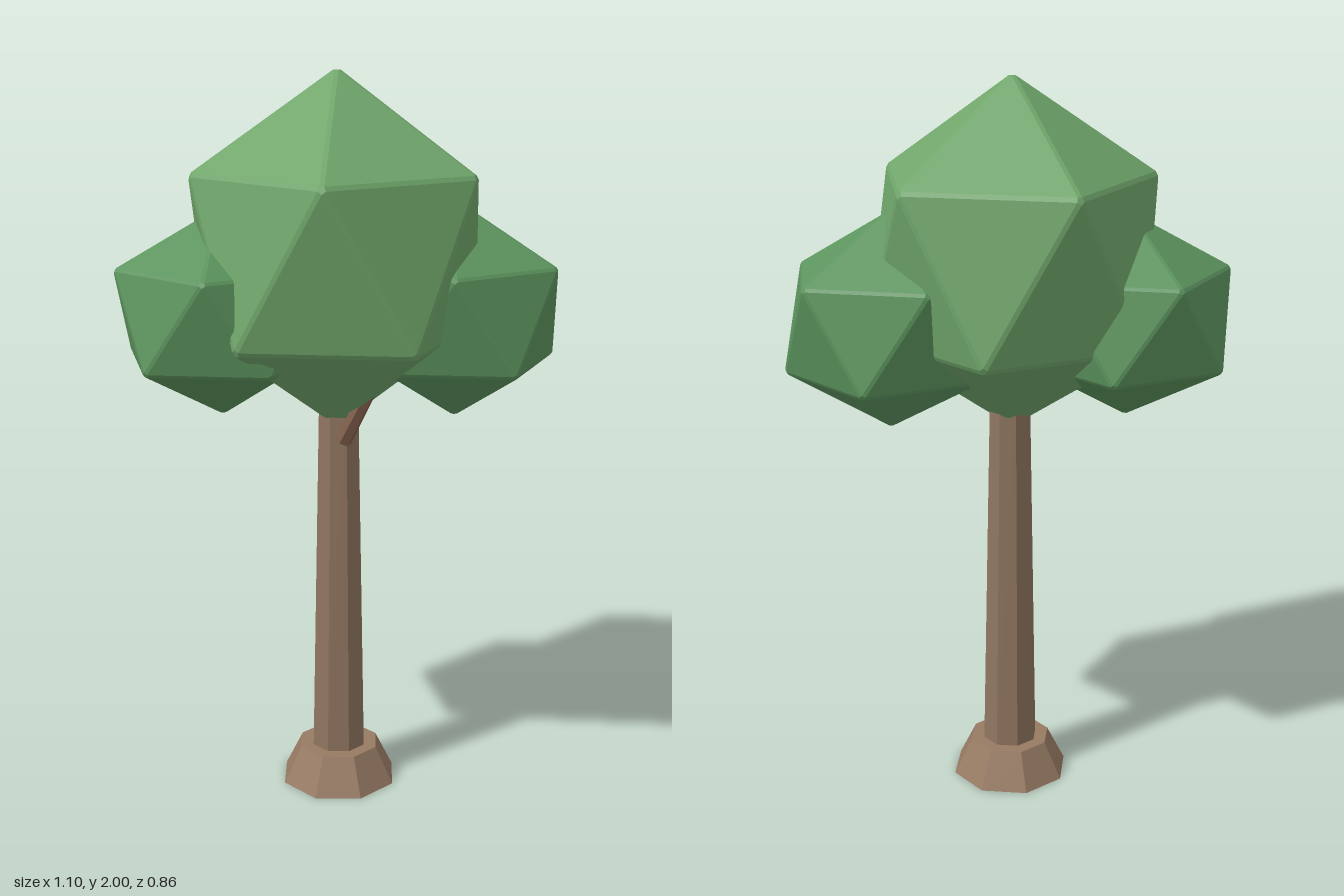
import * as THREE from 'three';
import { ConvexGeometry } from 'three/addons/geometries/ConvexGeometry.js';

const material = (color) => new THREE.MeshStandardMaterial({ color, flatShading: true });

// Upright icosahedron of radius 1 whose edges and corners are lightly bevelled
function bevelledIcosahedron(bevel) {
  const h = 1 / Math.sqrt(5), r = 2 / Math.sqrt(5), step = Math.PI / 5;
  const ring = (k, y) => new THREE.Vector3(r * Math.cos(k * step), y, r * Math.sin(k * step));
  const top = new THREE.Vector3(0, 1, 0), bottom = new THREE.Vector3(0, -1, 0);
  const points = [];
  const addFace = (...corners) => {
    const centre = new THREE.Vector3();
    corners.forEach((c) => centre.addScaledVector(c, 1 / 3));
    corners.forEach((c) => points.push(c.clone().lerp(centre, bevel)));
  };
  for (let k = 0; k < 10; k += 2) {
    const a = ring(k, h), b = ring(k + 2, h);
    const c = ring(k + 1, -h), d = ring(k + 3, -h);
    addFace(top, a, b);
    addFace(a, b, c);
    addFace(b, c, d);
    addFace(bottom, c, d);
  }
  return new ConvexGeometry(points);
}

export function createModel() {
  const tree = new THREE.Group();
  tree.name = 'tree';
  const add = (name, geometry, color, x, y, z) => {
    const mesh = new THREE.Mesh(geometry, material(color));
    mesh.name = name;
    mesh.position.set(x, y, z);
    tree.add(mesh);
    return mesh;
  };

  // Flared foot and tapering octagonal trunk
  add('trunkBase', new THREE.CylinderGeometry(0.115, 0.167, 0.105, 8), 0x977a63, 0, 0.0525, 0.018);
  add('trunk', new THREE.CylinderGeometry(0.056, 0.079, 1.15, 8), 0x8f7560, 0, 0.625, 0.018);

  // Short branch rising from the trunk into the crown
  const start = new THREE.Vector3(0.035, 1.025, 0.07);
  const end = new THREE.Vector3(0.15, 1.24, 0.085);
  const along = end.clone().sub(start);
  const mid = start.clone().add(end).multiplyScalar(0.5);
  const branch = add('branch', new THREE.CylinderGeometry(0.018, 0.024, along.length(), 6), 0x805f4c, mid.x, mid.y, mid.z);
  branch.quaternion.setFromUnitVectors(new THREE.Vector3(0, 1, 0), along.normalize());

  // Foliage: one large crown and two smaller clumps
  const clumps = [
    ['crown', 0x70a66b, 0, 1.53, 0.03, 0.437, 0.478, 0.05],
    ['rightFoliage', 0x5c945e, -0.275, 1.372, 0.17, 0.314, 0.28, 0.06],
    ['leftFoliage', 0x5c945e, 0.27, 1.36, -0.16, 0.316, 0.296, 0.06],
  ];
  for (const [name, color, x, y, z, radius, height, bevel] of clumps) {
    add(name, bevelledIcosahedron(bevel).scale(radius, height, radius), color, x, y, z);
  }
  return tree;
}
